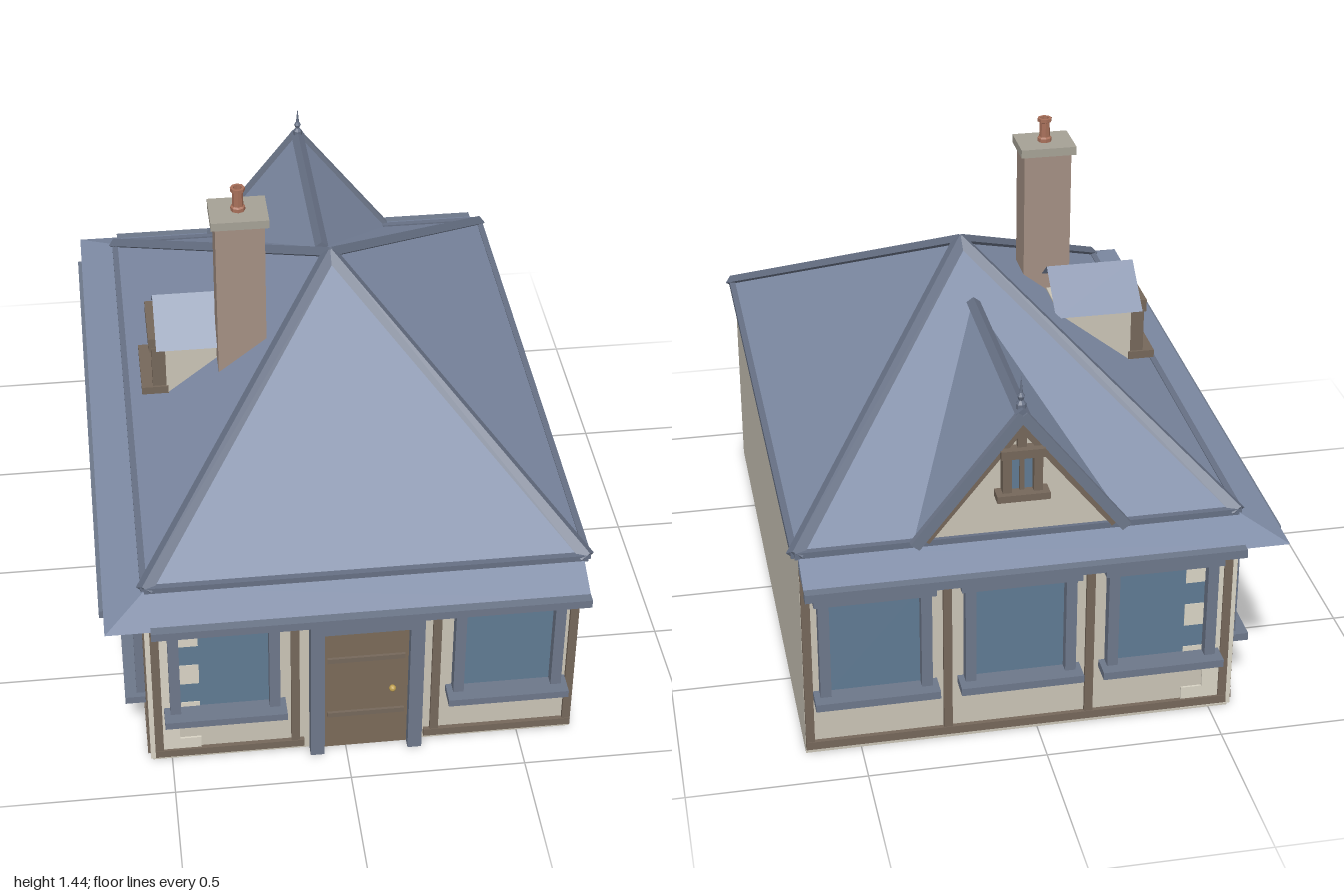
import * as THREE from 'three';

const mat = (color) => new THREE.MeshStandardMaterial({ color, flatShading: true, side: THREE.DoubleSide });
const M = {
  wall: mat(0xc9c3b5), roof: mat(0x7f8ca6), trim: mat(0x6d778a), ridge: mat(0x667084),
  timber: mat(0x75675a), door: mat(0x7a6a58), glass: mat(0x5f7a92), brick: mat(0xa38f83),
  stone: mat(0xa5a195), quoin: mat(0xd8d3c4), pot: mat(0xa8705a), brass: mat(0xc0a050),
};

// Box given by its lower and upper limits on each axis
function box(parent, name, m, [x0, x1], [y0, y1], [z0, z1]) {
  const mesh = new THREE.Mesh(new THREE.BoxGeometry(x1 - x0, y1 - y0, z1 - z0), m);
  mesh.position.set((x0 + x1) / 2, (y0 + y1) / 2, (z0 + z1) / 2);
  mesh.name = name;
  parent.add(mesh);
  return mesh;
}

// Flat polygons, each fanned from its first corner
function sheet(parent, name, m, polys) {
  const pos = [];
  for (const p of polys)
    for (let i = 1; i < p.length - 1; i++) pos.push(...p[0], ...p[i], ...p[i + 1]);
  const g = new THREE.BufferGeometry();
  g.setAttribute('position', new THREE.Float32BufferAttribute(pos, 3));
  g.computeVertexNormals();
  const mesh = new THREE.Mesh(g, m);
  mesh.name = name;
  parent.add(mesh);
}

// Straight member from a to b; a diamond section makes a ridge cap
function beam(parent, name, m, a, b, w, h, diamond = false) {
  const A = new THREE.Vector3(...a), B = new THREE.Vector3(...b), len = A.distanceTo(B);
  const g = diamond
    ? new THREE.CylinderGeometry(1, 1, len, 4).rotateX(Math.PI / 2).scale(w / 2, h / 2, 1)
    : new THREE.BoxGeometry(w, h, len);
  const mesh = new THREE.Mesh(g, m);
  mesh.position.copy(A).add(B).multiplyScalar(0.5);
  mesh.lookAt(B);
  mesh.name = name;
  parent.add(mesh);
}

// Window on a wall plane z = 0, centred on x = c
function addWindow(parent, c) {
  const w = new THREE.Group();
  w.name = 'window';
  w.position.x = c;
  parent.add(w);
  box(w, 'glass', M.glass, [-0.13, 0.13], [0.2, 0.505], [-0.004, 0.004]);
  for (const s of [-1, 1])
    box(w, 'jamb', M.trim, [s * 0.14 - 0.015, s * 0.14 + 0.015], [0.2, 0.505], [0, 0.035]);
  box(w, 'lintel', M.trim, [-0.167, 0.167], [0.502, 0.547], [0, 0.048]);
  box(w, 'sill', M.trim, [-0.172, 0.172], [0.181, 0.204], [0, 0.068]);
}

// Timber-framed wall: posts, rails and windows
function facade(parent, name, { posts, rails, windows, span }) {
  const f = new THREE.Group();
  f.name = name;
  for (const p of posts) box(f, 'post', M.timber, [p - 0.012, p + 0.012], [0.02, 0.6], [-0.002, 0.011]);
  for (const r of rails) box(f, 'bottomRail', M.timber, r, [0.018, 0.042], [-0.002, 0.013]);
  box(f, 'topPlate', M.timber, span, [0.58, 0.605], [-0.002, 0.012]);
  windows.forEach((c) => addWindow(f, c));
  parent.add(f);
  return f;
}

export function createModel() {
  const house = new THREE.Group();
  house.name = 'cottage';
  const X0 = -0.555, X1 = 0.655, Z = 0.865, CX = 0.055;

  // Walls, open underneath
  box(house, 'frontWallRight', M.wall, [X0, -0.065], [0, 0.65], [Z - 0.01, Z]);
  box(house, 'frontWallLeft', M.wall, [0.175, X1], [0, 0.65], [Z - 0.01, Z]);
  box(house, 'frontWallOverDoor', M.wall, [-0.065, 0.175], [0.46, 0.65], [Z - 0.01, Z]);
  box(house, 'backWall', M.wall, [X0, X1], [0, 0.65], [-Z, -Z + 0.01]);
  box(house, 'rightWall', M.wall, [X0, X0 + 0.01], [0, 0.65], [-Z, Z]);
  box(house, 'leftWall', M.wall, [X1 - 0.01, X1], [0, 0.65], [-Z, Z]);

  // Timber framing and windows on three sides
  const front = facade(house, 'frontFacade', {
    posts: [-0.535, -0.145, 0.255, 0.642], rails: [[-0.547, -0.12], [0.225, 0.654]],
    windows: [-0.345, 0.457], span: [X0, X1],
  });
  front.position.z = Z;
  const back = facade(house, 'backFacade', {
    posts: [-0.642, -0.255, 0.145, 0.535], rails: [[-0.654, 0.547]],
    windows: [-0.457, -0.055, 0.345], span: [-X1, -X0],
  });
  back.rotation.y = Math.PI;
  back.position.z = -Z;
  const side = facade(house, 'rightFacade', {
    posts: [-0.845, -0.43, 0, 0.43, 0.845], rails: [[-0.857, 0.857]],
    windows: [-0.645, -0.215, 0.215, 0.645], span: [-Z, Z],
  });
  side.rotation.y = -Math.PI / 2;
  side.position.x = X0;

  // Door
  const door = new THREE.Group();
  door.name = 'door';
  house.add(door);
  box(door, 'doorLeaf', M.door, [-0.065, 0.175], [0.005, 0.46], [Z - 0.01, Z + 0.01]);
  for (const x of [-0.085, 0.195]) box(door, 'doorJamb', M.trim, [x - 0.02, x + 0.02], [0.005, 0.46], [Z, 0.905]);
  box(door, 'doorHead', M.trim, [-0.105, 0.215], [0.46, 0.505], [Z, 0.905]);
  for (const y of [0.135, 0.342]) box(door, 'strapHinge', M.timber, [-0.055, 0.165], [y - 0.008, y + 0.008], [Z, Z + 0.018]);
  const knob = new THREE.Mesh(new THREE.SphereGeometry(0.01, 10, 8), M.brass);
  knob.position.set(0.13, 0.225, Z + 0.02);
  knob.name = 'doorKnob';
  house.add(knob);

  // Alternating corner stones at the two right-hand corners
  for (const s of [-1, 1])
    for (let i = 0; i < 9; i++) {
      const y = 0.01 + i * 0.07, a = i % 2 ? 0.08 : 0.14, b = i % 2 ? 0.14 : 0.08, e = 0.006;
      const z = [s * (Z - 0.008), s * (Z + e)].sort((p, q) => p - q);
      const zs = [s * (Z - b), s * (Z + e)].sort((p, q) => p - q);
      box(house, 'quoin', M.quoin, [X0 - e, X0 + a], [y, y + 0.07], z);
      box(house, 'quoin', M.quoin, [X0 - e, X0 + 0.008], [y, y + 0.07], zs);
    }

  // Skirt roof around three sides, mitred at the corners
  const xi = -0.545, xo = -0.668, zi = 0.86, zo = 0.985, yt = 0.648, yb = 0.597;
  for (const s of [-1, 1]) {
    const inT = [xi, yt, s * zi], inB = [xi, yb, s * zi], out = [xo, yb, s * zo];
    const eT = [X1, yt, s * zi], eB = [X1, yb, s * zi], eO = [X1, yb, s * zo];
    const polys = [[inT, out, eO, eT], [inB, out, eO, eB], [eT, eB, eO]];
    sheet(house, 'skirtRoof', M.roof, s > 0 ? polys : polys.map((p) => [...p].reverse()));
    box(house, 'gutter', M.trim, [-0.545, X1], [0.577, 0.602], s > 0 ? [0.972, 1] : [-1, -0.972]);
  }
  sheet(house, 'skirtRoofSide', M.roof, [yt, yb].map((y) =>
    [[xi, y, -zi], [xo, yb, -zo], [xo, yb, zo], [xi, y, zi]]));
  box(house, 'gutterSide', M.trim, [-0.68, -0.655], [0.56, 0.584], [-0.87, 0.87]);

  // Main hipped roof with eave edging and hip caps
  const apex = [CX, 1.125, 0], yE = 0.648;
  const c = [[-0.555, yE, 0.87], [0.665, yE, 0.87], [0.665, yE, -0.87], [-0.555, yE, -0.87]];
  sheet(house, 'mainRoof', M.roof, c.map((p, i) => [p, c[(i + 1) % 4], apex]));
  c.forEach((p, i) => {
    beam(house, 'eaveEdge', M.ridge, p, c[(i + 1) % 4], 0.018, 0.02);
    beam(house, 'hipCap', M.ridge, p, [CX, 1.127, 0], 0.05, 0.034, true);
  });

  // Back gable
  const gable = new THREE.Group();
  gable.name = 'backGable';
  house.add(gable);
  const gy = 1.02, gw = 0.29, zf = -0.89;
  sheet(gable, 'gableWall', M.wall, [[[CX - gw, 0.65, -0.868], [CX, gy, -0.868], [CX + gw, 0.65, -0.868]]]);
  for (const s of [-1, 1]) {
    const top = [CX, gy, zf], eave = [CX + s * gw, 0.65, zf], valley = [CX + s * gw, 0.65, -0.868];
    const p = [top, eave, valley, [CX, gy, -0.19]];
    sheet(gable, 'gableRoof', M.roof, [s < 0 ? p : p.reverse()]);
    beam(gable, 'bargeBoard', M.trim, [CX + s * gw, 0.648, -0.885], [CX, gy - 0.004, -0.885], 0.02, 0.03);
    beam(gable, 'gableRafter', M.timber, [CX + s * 0.26, 0.658, -0.876], [CX, gy - 0.038, -0.876], 0.018, 0.025);
    box(gable, 'gableWindowJamb', M.timber, [CX + s * 0.042 - 0.012, CX + s * 0.042 + 0.012], [0.79, 0.9], [-0.9, -0.865]);
  }
  beam(gable, 'gableRidgeCap', M.ridge, [CX, gy, zf], [CX, gy, -0.2], 0.04, 0.03, true);
  box(gable, 'kingPost', M.timber, [CX - 0.012, CX + 0.012], [0.9, 1.0], [-0.886, -0.865]);
  box(gable, 'gableWindowGlass', M.glass, [CX - 0.035, CX + 0.035], [0.785, 0.9], [-0.878, -0.865]);
  box(gable, 'gableWindowMullion', M.timber, [CX - 0.006, CX + 0.006], [0.785, 0.9], [-0.888, -0.865]);
  box(gable, 'gableWindowHead', M.timber, [CX - 0.06, CX + 0.06], [0.895, 0.92], [-0.905, -0.865]);
  box(gable, 'gableWindowSill', M.timber, [CX - 0.072, CX + 0.072], [0.772, 0.792], [-0.916, -0.865]);
  const finial = new THREE.Mesh(new THREE.LatheGeometry(
    [[0.014, 0], [0.014, 0.02], [0.006, 0.03], [0.011, 0.042], [0.005, 0.052], [0, 0.1]]
      .map(([r, y]) => new THREE.Vector2(r, y)), 8), M.ridge);
  finial.position.set(CX, 1.02, -0.865);
  finial.name = 'finial';
  gable.add(finial);

  // Small dormer on the right-hand slope
  const dormer = new THREE.Group();
  dormer.name = 'sideDormer';
  house.add(dormer);
  box(dormer, 'dormerBody', M.wall, [-0.44, -0.22], [0.73, 0.915], [-0.105, 0.105]);
  sheet(dormer, 'dormerGable', M.timber, [[[-0.442, 0.91, -0.12], [-0.442, 0.91, 0.12], [-0.442, 1.008, 0]]]);
  for (const s of [-1, 1]) {
    const p = [[-0.467, 1.018, 0], [-0.205, 1.018, 0], [-0.205, 0.91, s * 0.135], [-0.467, 0.91, s * 0.135]];
    sheet(dormer, 'dormerRoof', M.roof, [s < 0 ? p : p.reverse()]);
    box(dormer, 'dormerJamb', M.timber, [-0.48, -0.435], [0.765, 0.9], [s * 0.085 - 0.018, s * 0.085 + 0.018]);
  }
  box(dormer, 'dormerGlass', M.glass, [-0.447, -0.435], [0.765, 0.9], [-0.07, 0.07]);
  box(dormer, 'dormerMullion', M.timber, [-0.46, -0.435], [0.765, 0.9], [-0.008, 0.008]);
  box(dormer, 'dormerHead', M.timber, [-0.488, -0.435], [0.892, 0.93], [-0.1, 0.1]);
  box(dormer, 'dormerSill', M.timber, [-0.513, -0.435], [0.742, 0.766], [-0.11, 0.11]);

  // Chimney
  box(house, 'chimneyStack', M.brick, [-0.29, -0.15], [0.78, 1.346], [0.07, 0.18]);
  box(house, 'chimneyCap', M.stone, [-0.302, -0.138], [1.344, 1.369], [0.056, 0.19]);
  const pot = new THREE.Mesh(new THREE.LatheGeometry(
    [[0.021, 0], [0.021, 0.012], [0.016, 0.016], [0.015, 0.06], [0.021, 0.063], [0.021, 0.073], [0.013, 0.073], [0.012, 0.01], [0, 0.01]]
      .map(([r, y]) => new THREE.Vector2(r, y)), 8), M.pot);
  pot.position.set(-0.22, 1.368, 0.122);
  pot.name = 'chimneyPot';
  house.add(pot);

  return house;
}
